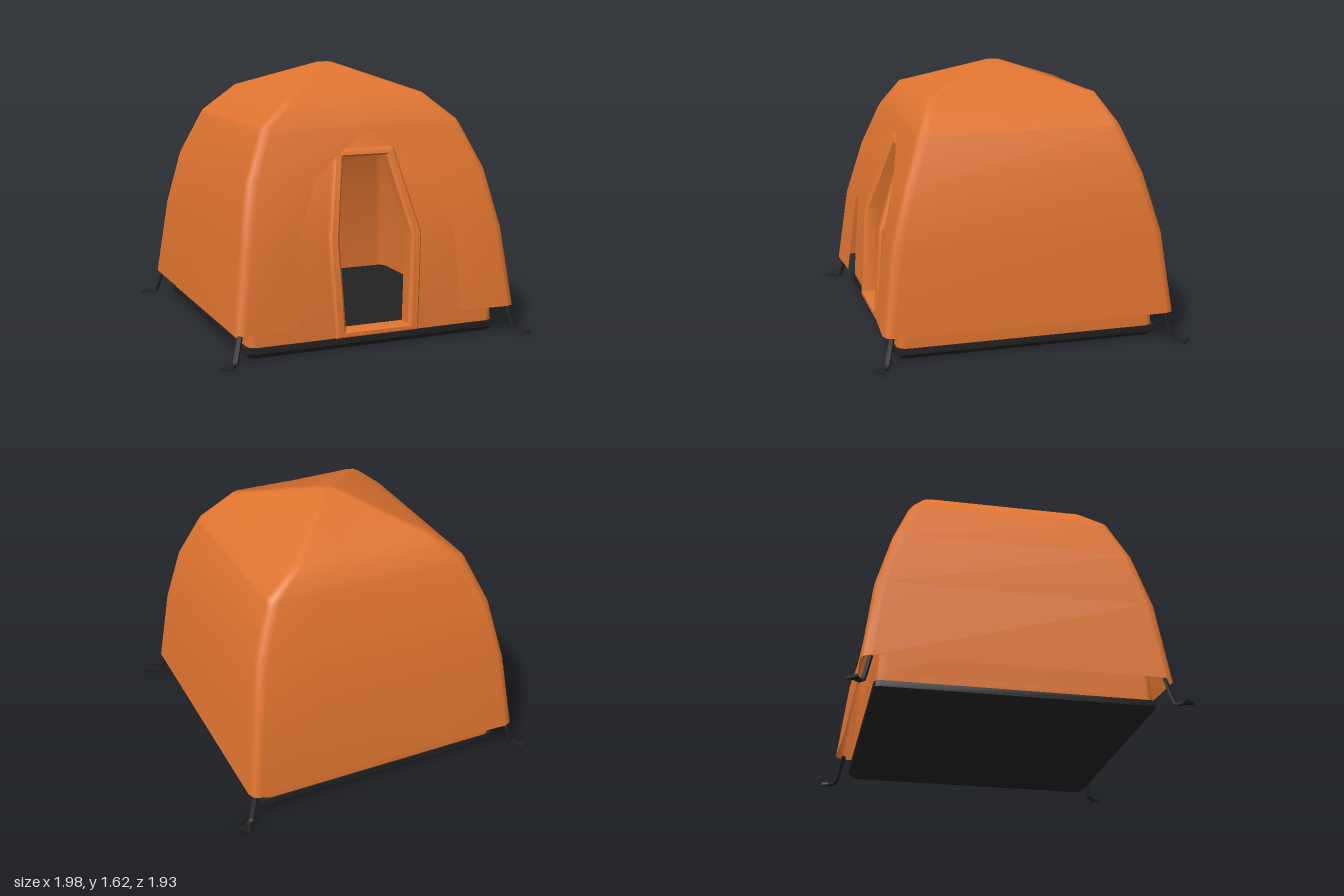
import * as THREE from 'three';
import { mergeVertices, toCreasedNormals } from 'three/addons/utils/BufferGeometryUtils.js';

const fabric = new THREE.MeshStandardMaterial({ name: 'orange fabric', color: 0xdf7430, side: THREE.DoubleSide });
const rubber = new THREE.MeshStandardMaterial({ name: 'black rubber', color: 0x222222 });

// Skins a grid of points given as equal-length rows; crease keeps sharper edges hard
function skin(rows, { loop = false, crease = 0 } = {}) {
  const n = rows[0].length, pts = rows.flat(), index = [];
  const add = (a, b, c) => {
    if (new THREE.Triangle(pts[a], pts[b], pts[c]).getArea() > 1e-8) index.push(a, b, c);
  };
  for (let i = 0; i < rows.length - 1; i++) {
    for (let j = 0; j < (loop ? n : n - 1); j++) {
      const a = i * n + j, b = i * n + (j + 1) % n;
      add(a, b, b + n);
      add(a, b + n, a + n);
    }
  }
  let g = new THREE.BufferGeometry().setFromPoints(pts);
  g.setIndex(index);
  if (crease) return toCreasedNormals(g, crease);
  g = mergeVertices(g);
  g.computeVertexNormals();
  return g;
}

// Soft-cornered square ring, open at the front by half-width c; front and back bow inward
function ring([y, X, Z, c = 0, r = 0.05], bow = 0) {
  const d = bow * Z;
  const half = [
    [c, Z - d], [X - r, Z], [X - 0.3 * r, Z - 0.3 * r], [X, Z - r],
    [X, r - Z], [X - 0.3 * r, 0.3 * r - Z], [X - r, -Z], [0.47 * X, d - Z],
  ];
  const mirrored = half.map(([x, z]) => [-x, z]).reverse();
  return [...half, ...mirrored].map(([x, z]) => new THREE.Vector3(x, y, z));
}

// y, half width, half depth, half width of opening, corner size
const FLY = [
  [0.17, 0.893, 0.885, 0.52, 0.06], [0.65, 0.832, 0.823, 0.5, 0.06],
  [1.0, 0.763, 0.724, 0.35, 0.06], [1.26, 0.65, 0.625, 0, 0.06],
  [1.29, 0.635, 0.61, 0, 0.06], [1.45, 0.44, 0.525, 0, 0.05],
  [1.615, 0.04, 0.04, 0, 0.015], [1.617, 0, 0, 0, 0],
];
const INNER = [
  [0.06, 0.79, 0.79], [0.11, 0.789, 0.788], [0.11, 0.789, 0.788, 0.2],
  [0.65, 0.765, 0.755, 0.23], [1.0, 0.7, 0.64, 0.161], [1.1, 0.665, 0.597, 0.14],
  [1.1, 0.665, 0.597], [1.3, 0.57, 0.51], [1.43, 0.38, 0.44],
  [1.56, 0.03, 0.03, 0, 0.01], [1.56, 0, 0, 0, 0],
];

// Depth of the inner tent's front wall at height y
function wallZ(y) {
  const i = Math.max(1, INNER.findIndex((s) => s[0] >= y));
  const [a, b] = [INNER[i - 1], INNER[i]];
  return a[2] + (b[2] - a[2]) * (y - a[0]) / (b[0] - a[0]);
}

// Padded door surround: cross-section swept around the opening
function doorFrameGeometry() {
  const side = [[0.265, 0.07, 0.2, 0.11], [0.295, 0.65, 0.23, 0.65], [0.19, 1.145, 0.14, 1.1]];
  const outline = [...side, ...side.map(([a, b, c, d]) => [-a, b, -c, d]).reverse()];
  const section = [[0, -0.04], [0, 0.022], [0.2, 0.036], [0.75, 0.036], [1, 0.018], [1, -0.065]];
  return skin(section.map(([t, d]) => outline.map(([ox, oy, ix, iy]) => {
    const y = oy + (iy - oy) * t;
    return new THREE.Vector3(ox + (ix - ox) * t, y, wallZ(y) + d);
  })), { loop: true, crease: 0.75 });
}

// Ground strap running outward along +x and ending in a flared foot
function strapGeometry() {
  const t = 0.007;
  const path = [ // outward, height, half width, thickness direction
    [0, 0.18, 0.014, 1, 0.3], [0.03, 0.09, 0.014, 1, 0.3], [0.057, 0.018, 0.014, 1, 0.6],
    [0.075, 0.008, 0.014, 0.3, 1], [0.115, 0.007, 0.017, 0, 1], [0.151, 0.007, 0.041, 0, 1],
  ];
  const rows = path.map(([u, y, w, nu, ny]) =>
    [[1, -1], [-1, -1], [-1, 1], [1, 1]].map(([s, v]) =>
      new THREE.Vector3(u + s * nu * t, y + s * ny * t, v * w)));
  const cap = (row) => {
    const mid = row.reduce((m, p) => m.add(p), new THREE.Vector3()).divideScalar(4);
    return row.map(() => mid.clone());
  };
  return skin([cap(rows[0]), ...rows, cap(rows[rows.length - 1])].reverse(), { loop: true, crease: 0.5 });
}

export function createModel() {
  const model = new THREE.Group();
  model.name = 'tent';
  const add = (name, geometry, material) => {
    const mesh = new THREE.Mesh(geometry, material);
    mesh.name = name;
    model.add(mesh);
    return mesh;
  };

  // Outer cover with an arched front cutout, and the inner tent with its doorway
  add('outerCover', skin(FLY.map((s) => ring(s, 0.02))), fabric);
  add('innerTent', skin(INNER.map((s) => ring(s))), fabric);
  add('doorFrame', doorFrameGeometry(), fabric);

  // Groundsheet tub
  const tub = [[0, 0, 0, 0, 0], [0, 0.77, 0.77, 0, 0.03], [0.03, 0.8, 0.8, 0, 0.03],
    [0.066, 0.8, 0.8, 0, 0.03], [0.066, 0, 0, 0, 0]];
  add('groundsheet', skin(tub.map((s) => ring(s)), { crease: 0.6 }), rubber);

  // Corner straps
  const strap = strapGeometry();
  for (const sx of [1, -1]) {
    for (const sz of [1, -1]) {
      const mesh = add(`${sz > 0 ? 'front' : 'back'}${sx > 0 ? 'Left' : 'Right'}Strap`, strap, rubber);
      mesh.position.set(sx * 0.852, 0, sz * 0.832);
      mesh.rotation.y = -Math.atan2(sz * 0.66, sx * 0.75);
    }
  }
  return model;
}
